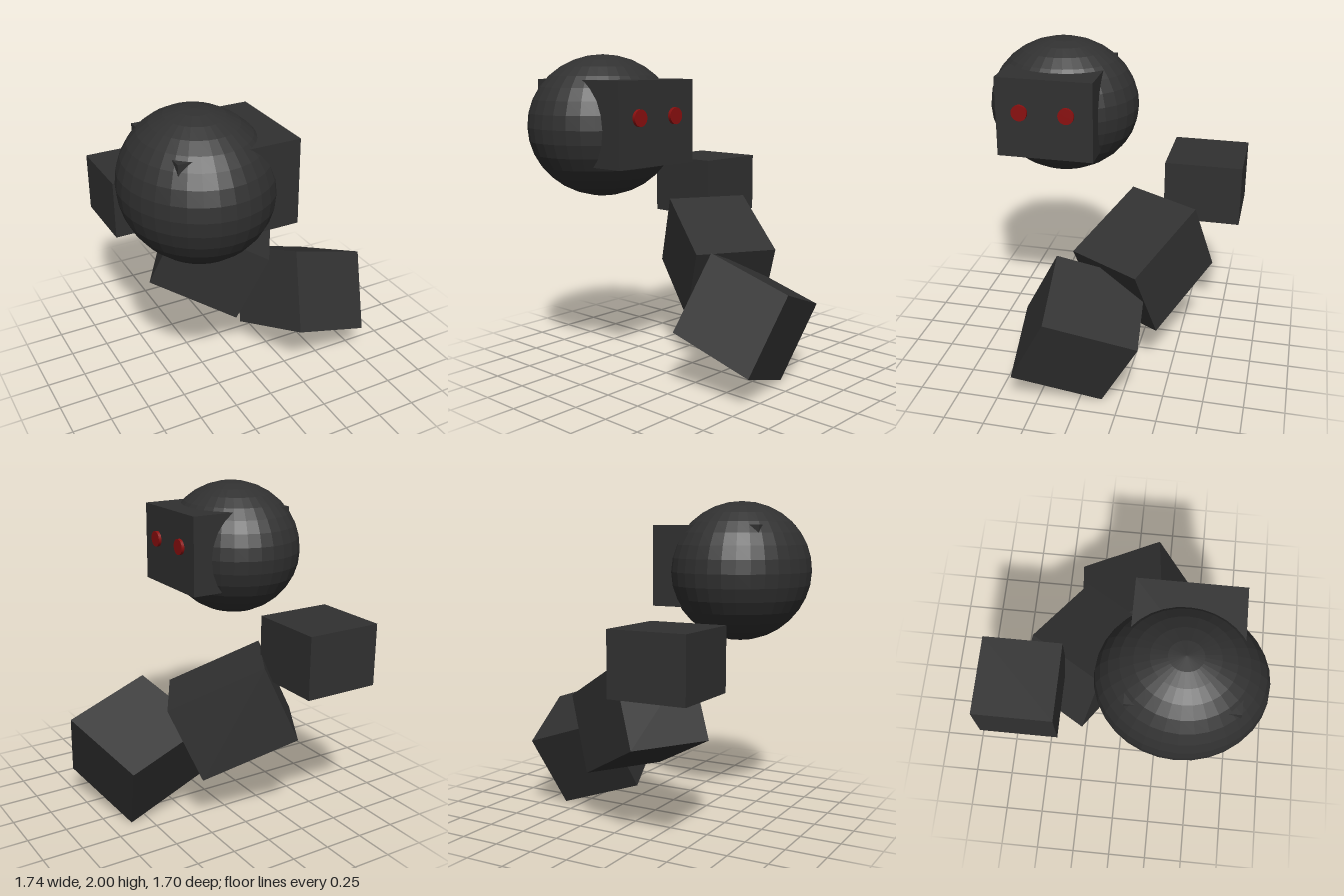
import * as THREE from 'three';

const charcoal = new THREE.MeshStandardMaterial({ color: 0x313131, flatShading: true });
charcoal.name = 'charcoal';
const darkRed = new THREE.MeshStandardMaterial({ color: 0x8b0f0f });
darkRed.name = 'darkRed';

export function createModel() {
  const model = new THREE.Group();
  model.name = 'segmentedCreature';

  const add = (name, geometry, material, x, y, z) => {
    const mesh = new THREE.Mesh(geometry, material);
    mesh.name = name;
    mesh.position.set(x, y, z);
    model.add(mesh);
    return mesh;
  };

  // Unit cube mapped onto three edge vectors (allows tilted, slightly skewed blocks)
  const block = (ex, ey, ez) => new THREE.BoxGeometry(1, 1, 1).applyMatrix4(
    new THREE.Matrix4().makeBasis(
      new THREE.Vector3(...ex), new THREE.Vector3(...ey), new THREE.Vector3(...ez)));

  // Round skull with a box face pushed through it towards +x
  add('skull', new THREE.SphereGeometry(1, 32, 16).scale(0.44, 0.44, 0.492), charcoal, -0.43, 1.56, 0.353);
  add('face', new THREE.BoxGeometry(0.72, 0.51, 0.62), charcoal, -0.315, 1.595, 0.36);

  // Round eyes on the face
  for (const [name, z] of [['leftEye', 0.216], ['rightEye', 0.514]]) {
    add(name, new THREE.CylinderGeometry(0.051, 0.051, 0.04, 32).rotateZ(-Math.PI / 2), darkRed, 0.045, 1.634, z);
  }

  // Chain of body blocks, from the upright one to the lowest one
  add('upperSegment', new THREE.BoxGeometry(0.486, 0.385, 0.486), charcoal, -0.424, 1.1, -0.609);
  add('middleSegment',
    block([0.495, -0.265, 0.288], [0.181, 0.46, 0.109], [-0.268, 0, 0.451]),
    charcoal, -0.033, 0.683, -0.272);
  add('lowerSegment',
    block([0.529, -0.175, -0.053], [0.094, 0.457, -0.238], [0.158, 0.191, 0.53]),
    charcoal, 0.478, 0.4165, 0.037);

  return model;
}
